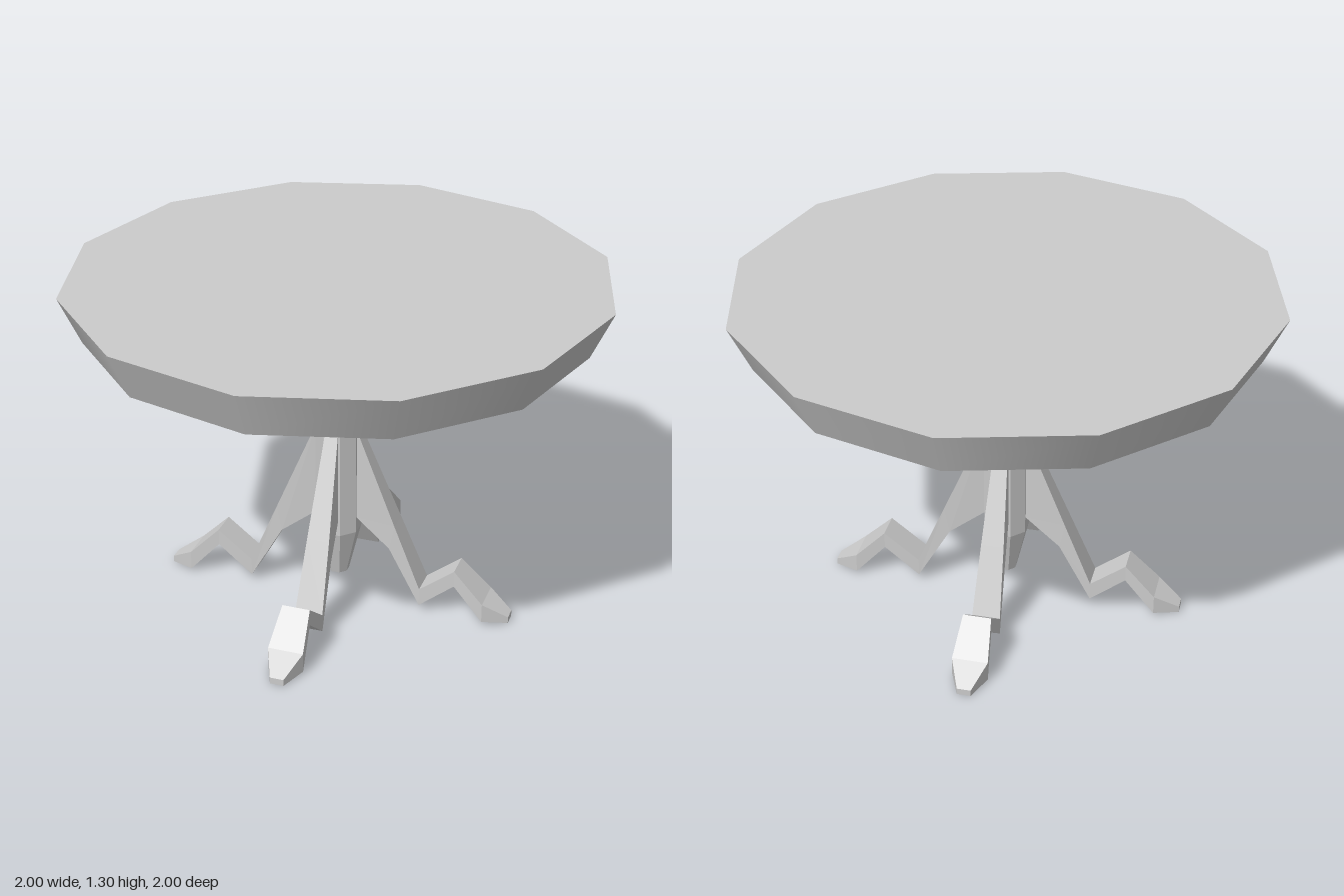
import * as THREE from 'three';

const smooth = new THREE.MeshStandardMaterial({ color: 0xcccccc });
const faceted = new THREE.MeshStandardMaterial({ color: 0xcccccc, flatShading: true });

// Leg cross-sections, from column to toe: [top x, top y, bottom x, bottom y, half width]
const LEG = [
  [0.08, 0.72, 0.08, 0.35, 0.025],
  [0.235, 0.35, 0.215, 0.25, 0.043],
  [0.34, 0.1, 0.34, 0.03, 0.053],
  [0.475, 0.205, 0.475, 0.14, 0.053],
  [0.59, 0.09, 0.59, 0.015, 0.067],
  [0.683, 0.03, 0.683, 0.005, 0.026],
];

// Joins four-cornered cross-sections into a closed, flat-faced solid
function legGeometry() {
  const rings = LEG.map(([tx, ty, bx, by, w]) => [
    [tx, ty, w], [tx, ty, -w], [bx, by, -w], [bx, by, w],
  ]);
  const pos = [];
  const quad = (a, b, c, d) => pos.push(...a, ...b, ...c, ...a, ...c, ...d);
  for (let i = 0; i < rings.length - 1; i++) {
    const r = rings[i], s = rings[i + 1];
    for (let j = 0; j < 4; j++) {
      const k = (j + 1) % 4;
      quad(r[j], s[j], s[k], r[k]);
    }
  }
  const first = rings[0], last = rings[rings.length - 1];
  quad(first[0], first[1], first[2], first[3]);
  quad(last[0], last[3], last[2], last[1]);
  const geo = new THREE.BufferGeometry();
  geo.setAttribute('position', new THREE.Float32BufferAttribute(pos, 3));
  geo.computeVertexNormals();
  return geo;
}

export function createModel() {
  const model = new THREE.Group();
  model.name = 'pedestalTable';
  const add = (name, geo, mat, y = 0) => {
    const mesh = new THREE.Mesh(geo, mat);
    mesh.name = name;
    mesh.position.y = y;
    model.add(mesh);
    return mesh;
  };

  // Twelve-sided top with a slanted rim
  add('tableTop', new THREE.CylinderGeometry(1, 0.92, 0.175, 12), smooth, 1.2225);

  // Eight-sided column, flat sides to the legs, with a tapered lower end
  const r = 0.08 / Math.cos(Math.PI / 8);
  const profile = [[0, 0.1], [0.04, 0.1], [r, 0.29], [r, 1.136], [0, 1.136]]
    .map(([x, y]) => new THREE.Vector2(x, y));
  add('column', new THREE.LatheGeometry(profile, 8, Math.PI / 8), faceted);

  // Four bent legs ending in feet
  const geo = legGeometry();
  for (let i = 0; i < 4; i++) {
    add('leg' + (i + 1), geo, faceted).rotation.y = i * Math.PI / 2;
  }
  return model;
}
